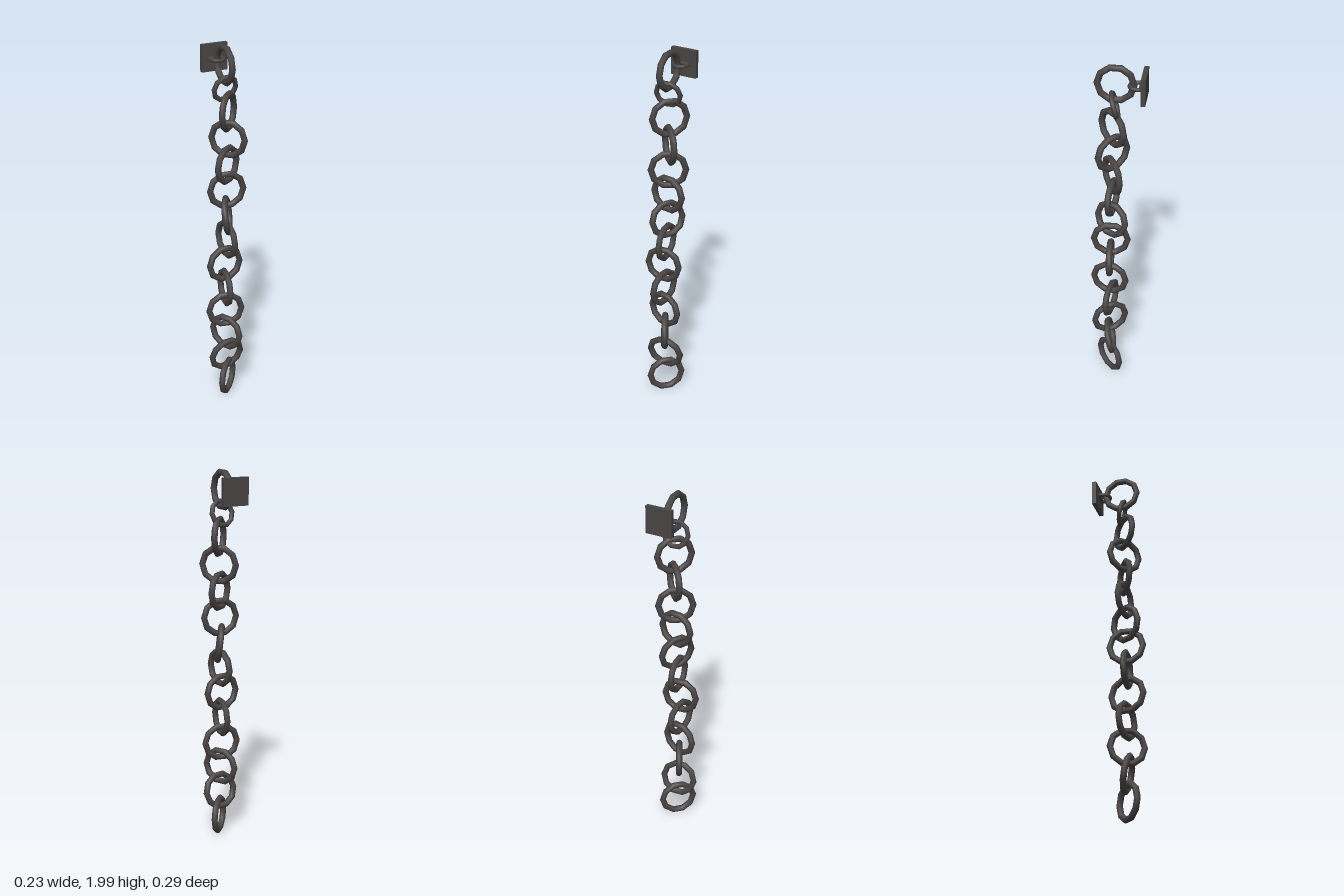
import * as THREE from 'three';

const iron = new THREE.MeshStandardMaterial({ color: 0x484443 });
iron.name = 'darkIron';

// each link: centre x, y, z, turn and lean in degrees
const LINKS = [
  [0.0, 1.891, 0.008, 90, 0],
  [0.0, 1.772, 0.012, 8, 14],
  [0.013, 1.652, 0.021, 45, 0],
  [0.013, 1.505, 0.021, -45, 0],
  [0.008, 1.367, 0.024, 33, 0],
  [0.005, 1.228, 0.024, -8, 0],
  [0.005, 1.085, 0.029, 60, -7],
  [0.0, 0.95, 0.034, 94, 0],
  [-0.013, 0.812, 0.04, 4, 0],
  [-0.011, 0.67, 0.042, 82, 0],
  [-0.008, 0.53, 0.037, -11, 0],
  [-0.005, 0.39, 0.04, -62, 0],
  [-0.003, 0.25, 0.04, 6, 11],
  [0.003, 0.108, 0.042, 45, 0],
];

export function createModel() {
  const group = new THREE.Group();
  const add = (name, geometry, x, y, z) => {
    const mesh = new THREE.Mesh(geometry, iron);
    mesh.name = name;
    mesh.position.set(x, y, z);
    group.add(mesh);
    return mesh;
  };

  // hanging chain; the second link is a smaller connecting ring
  const large = new THREE.TorusGeometry(0.09, 0.017, 8, 10);
  const small = new THREE.TorusGeometry(0.064, 0.013, 8, 10);
  LINKS.forEach(([x, y, z, turn, lean], i) => {
    const link = add(i === 1 ? 'connectingRing' : `chainLink${i + 1}`, i === 1 ? small : large, x, y, z);
    link.rotation.set(THREE.MathUtils.degToRad(lean), THREE.MathUtils.degToRad(turn), 0, 'YXZ');
  });

  // wall plate
  add('wallPlate', new THREE.BoxGeometry(0.142, 0.142, 0.023), 0.008, 1.894, -0.134);

  // tapered loop that holds the first link to the plate
  const half = [[0.036, -0.116], [0.029, -0.075], [0.011, -0.062]];
  const points = [...half, ...half.map(([x, z]) => [-x, z]).reverse()]
    .map(([x, z]) => new THREE.Vector3(x, 0, z));
  const path = new THREE.CatmullRomCurve3(points, true, 'catmullrom', 0.15);
  add('wallLoop', new THREE.TubeGeometry(path, 24, 0.01, 8, true), 0.007, 1.892, 0);

  return group;
}
